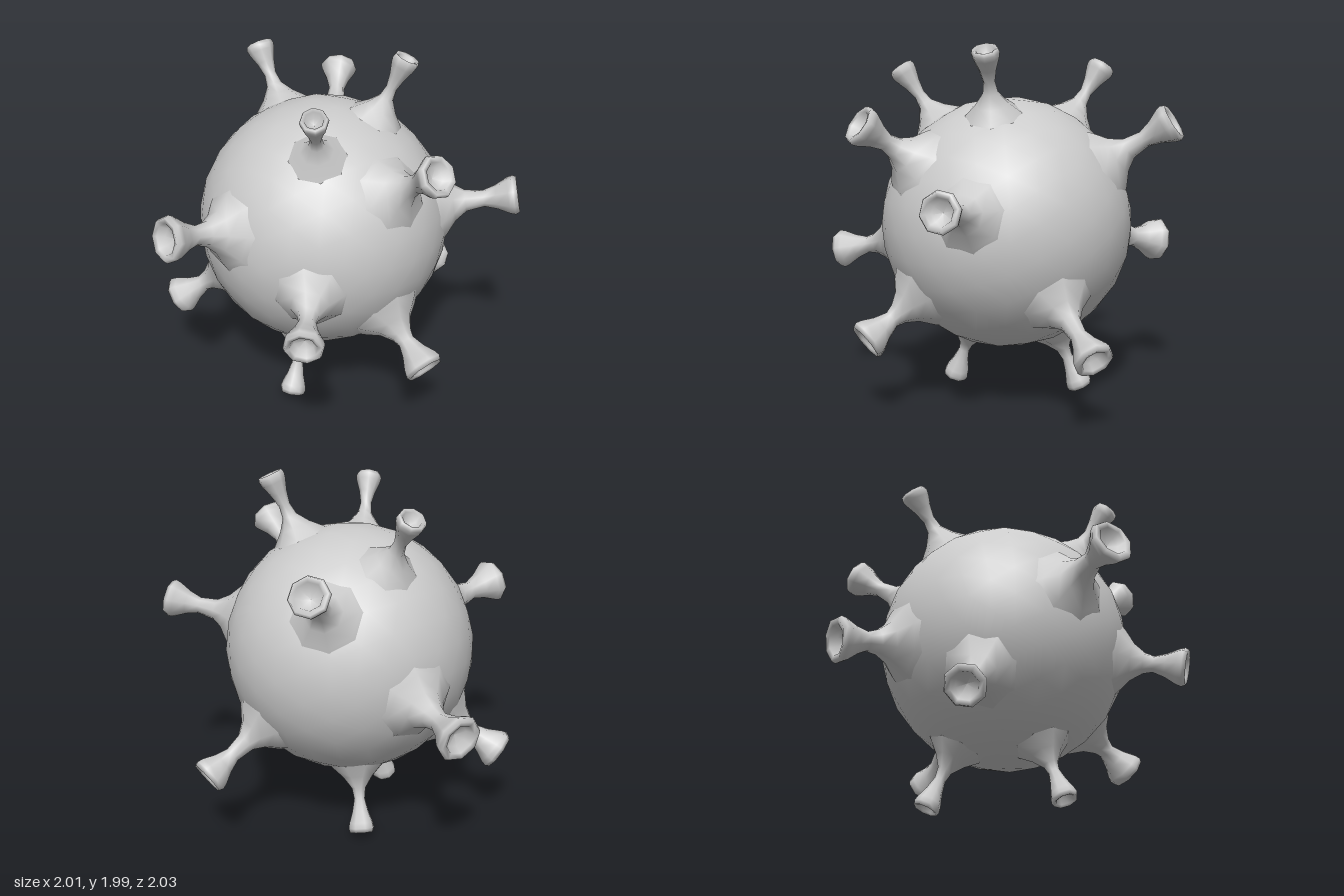
import * as THREE from 'three';

const CENTER = new THREE.Vector3(0.055, 0.99, -0.045);
const BODY_RADIUS = 0.7;

// Tip centre (x, y, z) and cap radius of every spike
const SPIKES = [
  [-0.54, 1.85, -0.18, 0.08],
  [0.41, 1.95, -0.30, 0.075],
  [0.41, 1.84, 0.46, 0.075],
  [0.92, 1.57, 0.11, 0.115],
  [0.95, 1.20, -0.63, 0.11],
  [0.63, 0.78, 0.80, 0.11],
  [0.90, 0.41, 0.11, 0.115],
  [0.14, 0.03, 0.33, 0.075],
  [-0.29, 0.03, -0.29, 0.075],
  [-0.66, 0.41, 0.44, 0.115],
  [-0.96, 0.80, -0.25, 0.13],
  [-0.14, 1.20, 0.98, 0.128],
  [-0.46, 1.57, -0.81, 0.11],
  [0.23, 0.41, -0.95, 0.11],
];

// Flared root, thin neck and trumpet cap with a hollow end, turned around y
function spikeGeometry(length, cap) {
  const root = 0.1 + cap;
  const neck = 0.42 * cap;
  const profile = [
    [root * 1.2, 0.61],
    [root * 0.85, 0.685],
    [root * 0.5, 0.745],
    [neck * 1.3, 0.81],
    [neck, length - 0.18],
    [cap * 0.62, length - 0.11],
    [cap * 0.92, length - 0.045],
    [cap, length - 0.015],
    [cap * 0.9, length + 0.008],
    [cap * 0.66, length],
    [cap * 0.5, length - 0.04],
    [0, length - 0.055],
  ].map(([r, h]) => new THREE.Vector2(r, h));
  return new THREE.LatheGeometry(profile, 8);
}

export function createModel() {
  const model = new THREE.Group();
  model.name = 'spikedSphere';
  const material = new THREE.MeshStandardMaterial({ color: 0xcccccc });

  // Round body
  const body = new THREE.Mesh(new THREE.IcosahedronGeometry(BODY_RADIUS, 4), material);
  body.name = 'body';
  body.position.copy(CENTER);
  model.add(body);

  // Spikes pointing out from the centre
  const up = new THREE.Vector3(0, 1, 0);
  const spikes = new THREE.Group();
  spikes.name = 'spikes';
  SPIKES.forEach(([x, y, z, cap], i) => {
    const axis = new THREE.Vector3(x, y, z).sub(CENTER);
    const spike = new THREE.Mesh(spikeGeometry(axis.length(), cap), material);
    spike.name = `spike${i + 1}`;
    spike.position.copy(CENTER);
    spike.quaternion.setFromUnitVectors(up, axis.normalize());
    spikes.add(spike);
  });
  model.add(spikes);

  return model;
}
